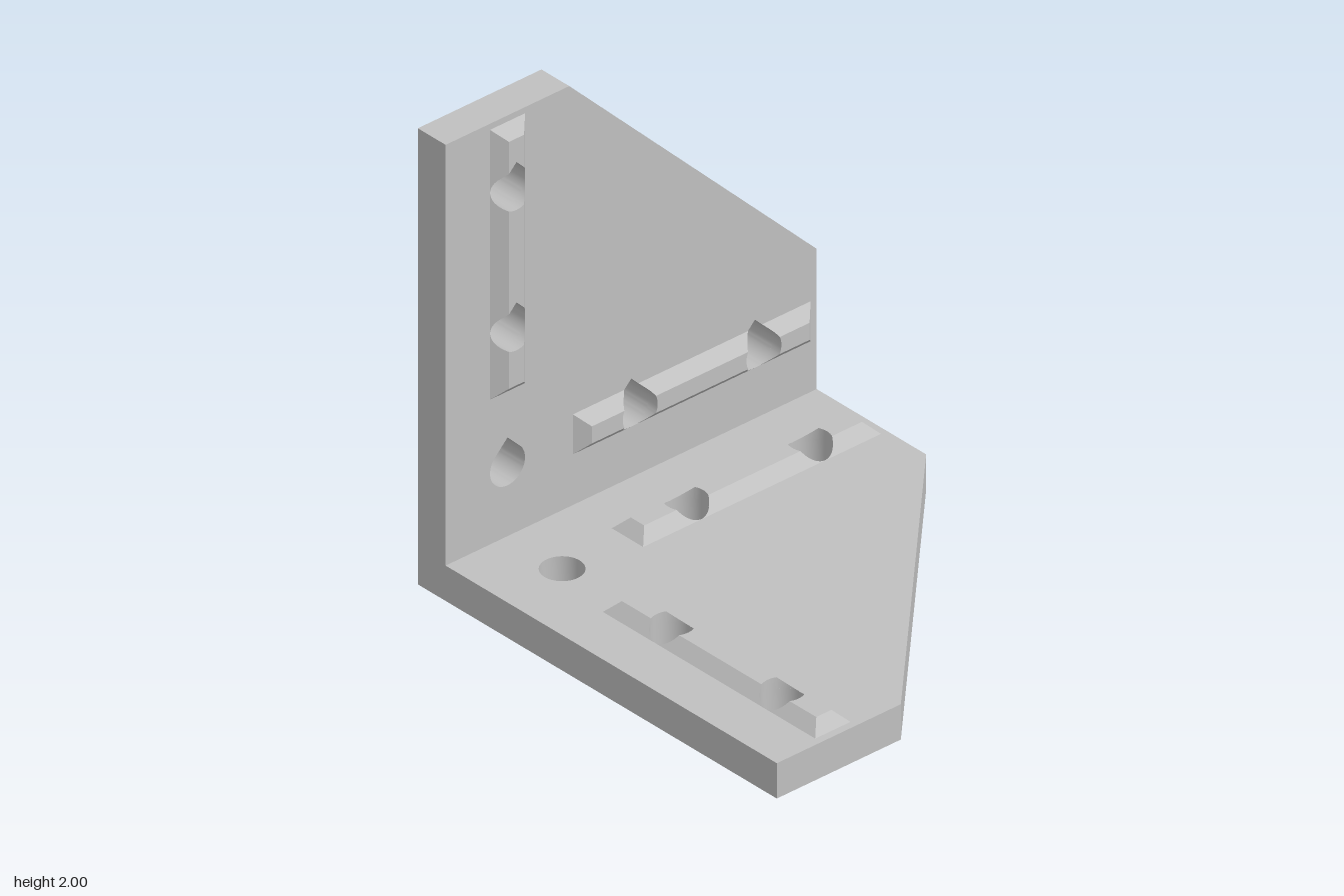
import * as THREE from 'three';
import { toCreasedNormals } from 'three/addons/utils/BufferGeometryUtils.js';

const R = 0.087;          // hole radius
const STEP = 0.6155;      // hole spacing
const THICK = 0.155;      // plate thickness
const HALF = 0.0875;      // rib half width
const RISE = 0.05;        // rib height
const K = R * Math.SQRT1_2;

// Half extents of a hole: circular part and pointed upper part
const arc = (d) => Math.sqrt(Math.max(0, R * R - d * d));
const peak = (d) => (Math.abs(d) < K ? R * Math.SQRT2 - Math.abs(d) : arc(d));
const side = (d) => (d > K ? Math.max(0, R * Math.SQRT2 - d) : arc(d));

function holePath(x, y, teardrop) {
  const p = new THREE.Path();
  if (teardrop) {
    p.moveTo(x, y + R * Math.SQRT2);
    p.lineTo(x - K, y + K);
    p.absarc(x, y, R, Math.PI * 0.75, Math.PI * 2.25, false);
    p.closePath();
  } else {
    p.absarc(x, y, R, 0, Math.PI * 2, false);
  }
  return p;
}

// Flat plate with five holes in an L pattern
function plateGeometry(outline, cx, cy, teardrop) {
  const shape = new THREE.Shape(outline.map(([x, y]) => new THREE.Vector2(x, y)));
  [[0, 0], [1, 0], [2, 0], [0, 1], [0, 2]].forEach(([i, j]) => {
    shape.holes.push(holePath(cx + i * STEP, cy + j * STEP, teardrop));
  });
  const g = new THREE.ExtrudeGeometry(shape, { depth: THICK, bevelEnabled: false, curveSegments: 24 });
  return toCreasedNormals(g, 0.5);
}

// Chamfered rib running along +u from the corner hole, cut by two holes
function ribGeometry(before, after) {
  const height = (v) => Math.min(RISE, Math.max(0, HALF - Math.abs(v)));
  const vs = [0, K, -K, HALF - RISE, RISE - HALF];
  for (let i = 0; i <= 24; i++) if (i !== 12) vs.push(-HALF * Math.cos((i / 24) * Math.PI));
  vs.sort((a, b) => a - b);

  // Each end gives u at the plate and u at the top
  const slopeStart = (v) => [0.325, 0.325 + height(v)];
  const slopeEnd = (v) => [1.508, 1.508 - height(v)];
  const holeStart = (n) => (v) => [n * STEP - before(v), n * STEP - before(v)];
  const holeEnd = (n) => (v) => [n * STEP + after(v), n * STEP + after(v)];
  const segments = [
    [slopeStart, holeStart(1)],
    [holeEnd(1), holeStart(2)],
    [holeEnd(2), slopeEnd],
  ];

  const pos = [];
  const quad = (a, b, c, d) => pos.push(...a, ...b, ...c, ...a, ...c, ...d);
  for (const [start, end] of segments) {
    const section = (v) => {
      const [a, aTop] = start(v), [b, bTop] = end(v), h = height(v);
      return [[a, v, 0], [aTop, v, h], [bTop, v, h], [b, v, 0]];
    };
    for (let i = 0; i < vs.length - 1; i++) {
      const p = section(vs[i]), q = section(vs[i + 1]);
      quad(p[1], p[2], q[2], q[1]);   // top and long slopes
      quad(q[0], p[0], p[1], q[1]);   // start face
      quad(p[3], q[3], q[2], p[2]);   // end face
    }
  }
  const g = new THREE.BufferGeometry();
  g.setAttribute('position', new THREE.Float32BufferAttribute(pos, 3));
  return toCreasedNormals(g, 0.5);
}

export function createModel() {
  const grey = new THREE.MeshStandardMaterial({ color: 0xc0c0c0 });
  grey.name = 'lightGrey';

  function add(parent, name, geometry) {
    const m = new THREE.Mesh(geometry, grey);
    m.name = name;
    parent.add(m);
    return m;
  }

  // A plate lies in its local xy plane, with the ribs on its +z face
  function side_(name, outline, cx, cy, teardrop) {
    const g = new THREE.Group();
    g.name = name;
    add(g, name + 'Plate', plateGeometry(outline, cx, cy, teardrop));
    const across = add(g, name + 'RibAcross',
      teardrop ? ribGeometry(side, side) : ribGeometry(arc, arc));
    across.position.set(cx, cy, THICK);
    const along = add(g, name + 'RibAlong',
      teardrop ? ribGeometry(arc, peak) : ribGeometry(arc, arc));
    along.position.set(cx, cy, THICK);
    along.rotation.z = Math.PI / 2;
    return g;
  }

  const model = new THREE.Group();
  model.name = 'cornerBracket';

  // Horizontal plate, round holes
  const base = side_('base',
    [[-0.847, -0.923], [1, -0.923], [1, -0.306], [-0.235, 0.923], [-0.847, 0.923]],
    -0.541, -0.615, false);
  base.rotation.x = -Math.PI / 2;

  // Upright plate, teardrop holes
  const wall = side_('wall',
    [[-0.923, 0], [0.923, 0], [0.923, 0.77], [-0.308, 2], [-0.923, 2]],
    -0.615, 0.465, true);
  wall.rotation.y = Math.PI / 2;
  wall.position.x = -1;

  model.add(base, wall);
  return model;
}
